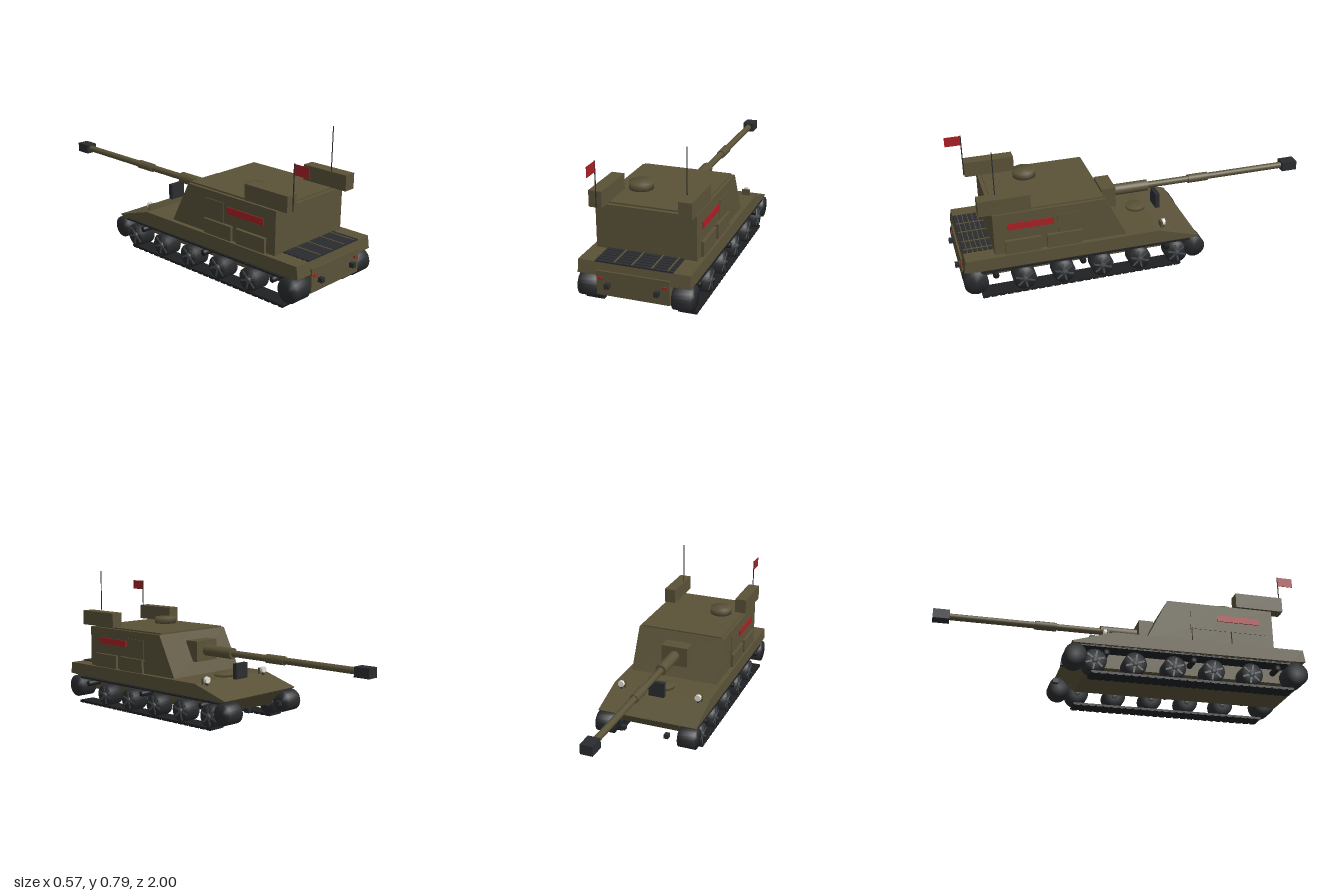
import * as THREE from 'three';

const mat = (name, color) => {
  const m = new THREE.MeshStandardMaterial({ color });
  m.name = name;
  return m;
};

export function createModel() {
  const olive = mat('olive paint', 0x5a5238);
  const dark = mat('dark metal', 0x2a2c2f);
  const rubber = mat('track rubber', 0x1f2022);
  const steel = mat('wheel steel', 0x4a4f53);
  const red = mat('red', 0xa82024);
  const white = mat('lamp glass', 0xe6e4dc);

  const model = new THREE.Group();
  model.name = 'selfPropelledGun';

  const add = (name, geo, material, parent = model) => {
    const m = new THREE.Mesh(geo, material);
    m.name = name;
    parent.add(m);
    return m;
  };
  // Box given by its limits on each axis
  const box = (name, x0, x1, y0, y1, z0, z1, material) => {
    const m = add(name, new THREE.BoxGeometry(x1 - x0, y1 - y0, z1 - z0), material);
    m.position.set((x0 + x1) / 2, (y0 + y1) / 2, (z0 + z1) / 2);
    return m;
  };
  // The same box on both sides
  const pair = (name, x0, x1, y0, y1, z0, z1, material) => {
    box(name + 'Left', x0, x1, y0, y1, z0, z1, material);
    box(name + 'Right', -x1, -x0, y0, y1, z0, z1, material);
  };
  // Side profile of [z, y] points, extruded across x
  const profile = (name, pts, half, material) => {
    const shape = new THREE.Shape(pts.map(([z, y]) => new THREE.Vector2(-z, y)));
    const g = new THREE.ExtrudeGeometry(shape, { depth: half * 2, bevelEnabled: false });
    g.translate(0, 0, -half).rotateY(Math.PI / 2);
    return add(name, g, material);
  };
  // Drum with soft shaded rims, axis along y
  const drum = (r, h) => new THREE.LatheGeometry(
    [[0, -h / 2], [r, -h / 2], [r, h / 2], [0, h / 2]].map(p => new THREE.Vector2(...p)), 24);
  // Round rod along z
  const rodZ = (name, r, z0, z1, y, material) => {
    const g = new THREE.CylinderGeometry(r, r, z1 - z0, 20).rotateX(Math.PI / 2);
    const m = add(name, g, material);
    m.position.set(0, y, (z0 + z1) / 2);
    return m;
  };

  // Hull
  profile('upperHull', [[0.97, 0.17], [0.96, 0.235], [-0.08, 0.235], [-0.30, 0.168], [-0.29, 0.16], [0.9, 0.165]], 0.284, olive);
  profile('lowerHull', [[0.965, 0.073], [0.965, 0.197], [-0.1, 0.197], [-0.295, 0.163], [-0.2, 0.073]], 0.185, olive);
  box('rearPlate', -0.185, 0.185, 0.073, 0.197, 0.96, 0.975, olive);
  pair('tailLight', 0.148, 0.173, 0.155, 0.167, 0.97, 0.982, red);
  pair('rearTowHook', 0.113, 0.137, 0.118, 0.142, 0.97, 1.0, dark);
  pair('frontTowHook', 0.113, 0.137, 0.09, 0.114, -0.33, -0.30, dark);

  // Engine grille: slats crossed by thin olive bars
  for (let i = 0; i < 6; i++) {
    const z = 0.787 + i * 0.0265;
    box('grilleSlat', -0.197, 0.197, 0.234, 0.241, z + 0.02, z + 0.041, dark);
  }
  for (const x of [-0.1, -0.01, 0.09, 0.17]) box('grilleBar', x - 0.004, x + 0.004, 0.234, 0.2425, 0.80, 0.955, olive);

  // Driver hatch, vision block and headlights
  add('driverHatch', drum(0.053, 0.018), olive).position.set(0, 0.242, -0.03);
  box('visionBlock', -0.045, 0.045, 0.235, 0.32, -0.16, -0.135, dark);
  for (const s of [-1, 1]) {
    const lamp = add('headlight', new THREE.CylinderGeometry(0.018, 0.018, 0.016, 16).rotateX(Math.PI / 2), white);
    lamp.position.set(s * 0.227, 0.252, -0.118);
    box('lampGuard', s * 0.227 - 0.022, s * 0.227 + 0.022, 0.22, 0.262, -0.108, -0.098, olive);
    box('lampStalk', s * 0.227 - 0.005, s * 0.227 + 0.005, 0.21, 0.24, -0.122, -0.112, dark);
  }

  // Turret
  profile('turret', [[0.805, 0.235], [0.805, 0.463], [0.215, 0.463], [0.1, 0.235]], 0.258, olive);
  box('turretRoof', -0.241, 0.241, 0.46, 0.471, 0.22, 0.785, olive);
  pair('bustleBox', 0.192, 0.259, 0.47, 0.553, 0.605, 0.873, olive);
  for (const [a, b] of [[0.565, 0.75], [0.345, 0.53]]) {
    pair('stowageBox', 0.255, 0.273, 0.235, 0.308, a, b, olive);
    pair('stowageLid', 0.255, 0.276, 0.306, 0.313, a - 0.002, b + 0.002, olive);
  }
  pair('sideDoor', 0.255, 0.262, 0.3, 0.42, 0.34, 0.47, olive);
  pair('redStripe', 0.2575, 0.263, 0.37, 0.406, 0.49, 0.73, red);
  add('cupola', drum(0.062, 0.038), olive).position.set(-0.119, 0.489, 0.565);

  // Gun
  box('mantlet', -0.078, 0.078, 0.305, 0.42, 0.105, 0.185, olive);
  rodZ('barrelSleeve', 0.031, -0.097, 0.12, 0.365, olive);
  rodZ('barrel', 0.018, -0.93, -0.05, 0.365, olive);
  rodZ('fumeExtractor', 0.024, -0.457, -0.34, 0.365, olive);
  box('muzzleBrake', -0.033, 0.033, 0.339, 0.391, -1.0, -0.912, dark);

  // Antenna, flagpole and flag
  const pole = (name, r, x, y0, y1, z) =>
    add(name, new THREE.CylinderGeometry(r, r, y1 - y0, 8), dark).position.set(x, (y0 + y1) / 2, z);
  pole('antenna', 0.0025, 0.2, 0.55, 0.787, 0.775);
  pole('flagpole', 0.003, -0.219, 0.47, 0.705, 0.875);
  box('flag', -0.2205, -0.2175, 0.65, 0.703, 0.876, 0.962, red);

  // Running gear on both sides
  for (const s of [-1, 1]) {
    const gear = new THREE.Group();
    gear.name = s > 0 ? 'leftRunningGear' : 'rightRunningGear';
    gear.position.x = s * 0.238;
    model.add(gear);
    const wheel = (name, r, w, y, z, material) => {
      const m = add(name, drum(r, w).rotateZ(Math.PI / 2), material, gear);
      m.position.set(0, y, z);
    };
    wheel('driveSprocket', 0.063, 0.095, 0.097, 0.914, dark);
    wheel('idler', 0.058, 0.095, 0.097, -0.281, dark);
    for (let i = 0; i < 5; i++) {
      const z = 0.66 - i * 0.21;
      wheel('roadWheel', 0.061, 0.084, 0.073, z, dark);
      wheel('wheelHub', 0.016, 0.094, 0.073, z, steel);
      for (let k = 0; k < 3; k++) {
        const spoke = add('spoke', new THREE.BoxGeometry(0.006, 0.104, 0.010), steel, gear);
        spoke.position.set(s * 0.0415, 0.073, z);
        spoke.rotation.x = k * Math.PI / 3 + 0.2;
      }
    }
    for (const z of [0.81, 0.345, -0.12]) wheel('returnRoller', 0.016, 0.084, 0.122, z, rubber);
    // Lower and upper track runs with pads
    add('lowerTrack', new THREE.BoxGeometry(0.095, 0.010, 1.09), rubber, gear).position.set(0, 0.009, 0.343);
    add('upperTrack', new THREE.BoxGeometry(0.09, 0.006, 1.14), rubber, gear).position.set(0, 0.15, 0.315);
    for (let i = 0; i < 26; i++) {
      const z = -0.18 + i * 0.042;
      add('trackPad', new THREE.BoxGeometry(0.095, 0.006, 0.03), rubber, gear).position.set(0, 0.003, z);
      add('upperPad', new THREE.BoxGeometry(0.094, 0.005, 0.02), rubber, gear).position.set(0, 0.154, z);
    }
  }
  return model;
}
